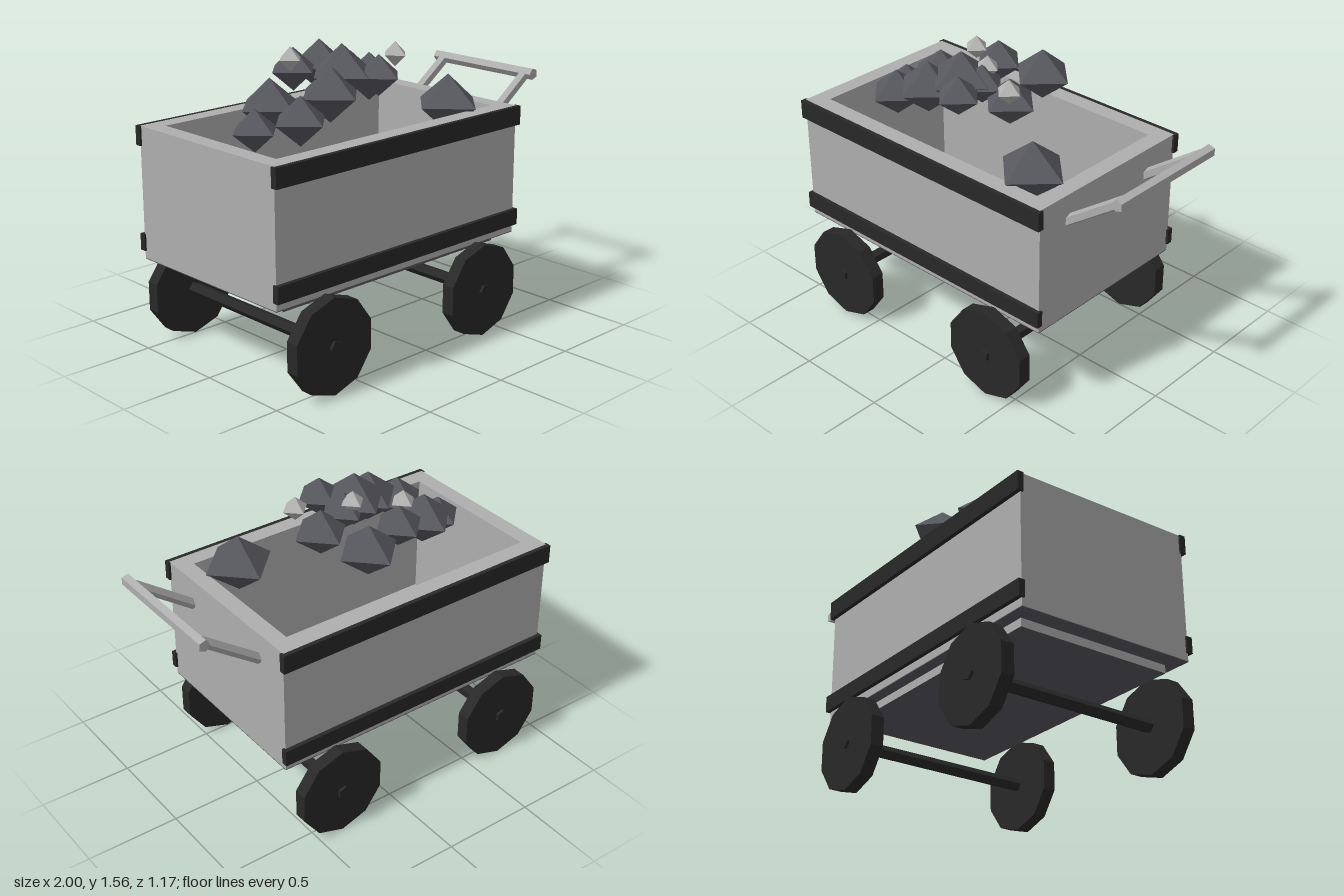
import * as THREE from 'three';

const mat = (name, color) => {
  const m = new THREE.MeshStandardMaterial({ color, flatShading: true });
  m.name = name;
  return m;
};

export function createModel() {
  const cart = new THREE.Group();
  cart.name = 'coalCart';
  const grey = mat('bodyGrey', 0xaeaeae);
  const black = mat('ironBlack', 0x282828);
  const coal = mat('coalGrey', 0x58585f);
  const silver = mat('oreSilver', 0xb4b4b3);

  const add = (name, geo, material, x = 0, y = 0, z = 0) => {
    const m = new THREE.Mesh(geo, material);
    m.name = name;
    m.position.set(x, y, z);
    cart.add(m);
    return m;
  };

  // Five-sided rod between two points; start turns the cross-section
  const rod = (name, a, b, r, start, material) => {
    const dir = b.clone().sub(a);
    const geo = new THREE.CylinderGeometry(r, r, dir.length(), 5, 1, false, start);
    const m = add(name, geo, material);
    m.position.copy(a).add(b).multiplyScalar(0.5);
    m.quaternion.setFromUnitVectors(new THREE.Vector3(0, 1, 0), dir.normalize());
  };

  // Open tub: rectangular wall ring extruded upwards
  const rect = (Type, x0, x1, h) => new Type([
    new THREE.Vector2(x0, -h), new THREE.Vector2(x1, -h),
    new THREE.Vector2(x1, h), new THREE.Vector2(x0, h),
  ]);
  const ring = rect(THREE.Shape, -0.99, 0.65, 0.5);
  ring.holes.push(rect(THREE.Path, -0.9, 0.56, 0.41));
  const walls = new THREE.ExtrudeGeometry(ring, { depth: 0.683, bevelEnabled: false });
  walls.rotateX(-Math.PI / 2);
  add('tubWalls', walls, grey, 0, 0.487, 0);

  // Dark underside plate, and floor slab with dark bottom and front faces
  add('tubUnderside', new THREE.BoxGeometry(1.64, 0.004, 1), coal, -0.17, 0.485, 0);
  add('tubFloor', new THREE.BoxGeometry(1.46, 0.06, 0.87),
    [grey, grey, grey, coal, coal, grey], -0.168, 0.47, 0);

  // Iron bands along both long sides
  for (const s of [1, -1]) {
    add('upperBand', new THREE.BoxGeometry(1.662, 0.1, 0.034), black, -0.169, 1.12, s * 0.506);
    add('lowerBand', new THREE.BoxGeometry(1.662, 0.086, 0.034), black, -0.169, 0.571, s * 0.506);
  }

  // Wheels and axles
  for (const x of [-0.695, 0.357]) {
    rod('axle', new THREE.Vector3(x, 0.248, -0.585),
      new THREE.Vector3(x, 0.248, 0.585), 0.035, -Math.PI / 2, black);
    for (const s of [1, -1]) {
      const wheel = new THREE.CylinderGeometry(0.248, 0.248, 0.07, 10);
      wheel.rotateX(Math.PI / 2);
      add('wheel', wheel, black, x, 0.248, s * 0.535);
    }
  }

  // Push handle
  for (const z of [0.295, -0.29]) {
    rod('handleArm', new THREE.Vector3(0.64, 1.023, z),
      new THREE.Vector3(0.968, 1.26, z), 0.029, Math.PI, grey);
  }
  rod('handleBar', new THREE.Vector3(0.972, 1.261, -0.35),
    new THREE.Vector3(0.972, 1.261, 0.35), 0.032, -Math.PI / 2, grey);

  // Lumps: x, y, z, radius
  const lump = (name, material, flat) => ([x, y, z, r]) =>
    add(name, new THREE.OctahedronGeometry(r).scale(1, flat, 1), material, x, y, z);
  [
    [-0.02, 1.367, -0.265, 0.17], [-0.54, 1.272, -0.052, 0.174],
    [-0.71, 1.195, 0.035, 0.135], [-0.585, 1.253, 0.222, 0.155],
    [-0.105, 1.406, 0.258, 0.13], [0.39, 1.185, 0.263, 0.193],
    [-0.375, 1.345, 0.202, 0.175], [-0.22, 1.412, 0.118, 0.185],
    [0.04, 1.345, 0.043, 0.155], [-0.26, 1.39, -0.195, 0.14],
    [-0.12, 1.4, 0.075, 0.13],
  ].forEach(lump('coalLump', coal, 0.8));
  [
    [-0.345, 1.464, -0.12, 0.07], [0.125, 1.462, 0.142, 0.072],
    [-0.135, 1.468, 0.018, 0.068],
  ].forEach(lump('oreLump', silver, 0.9));

  return cart;
}
